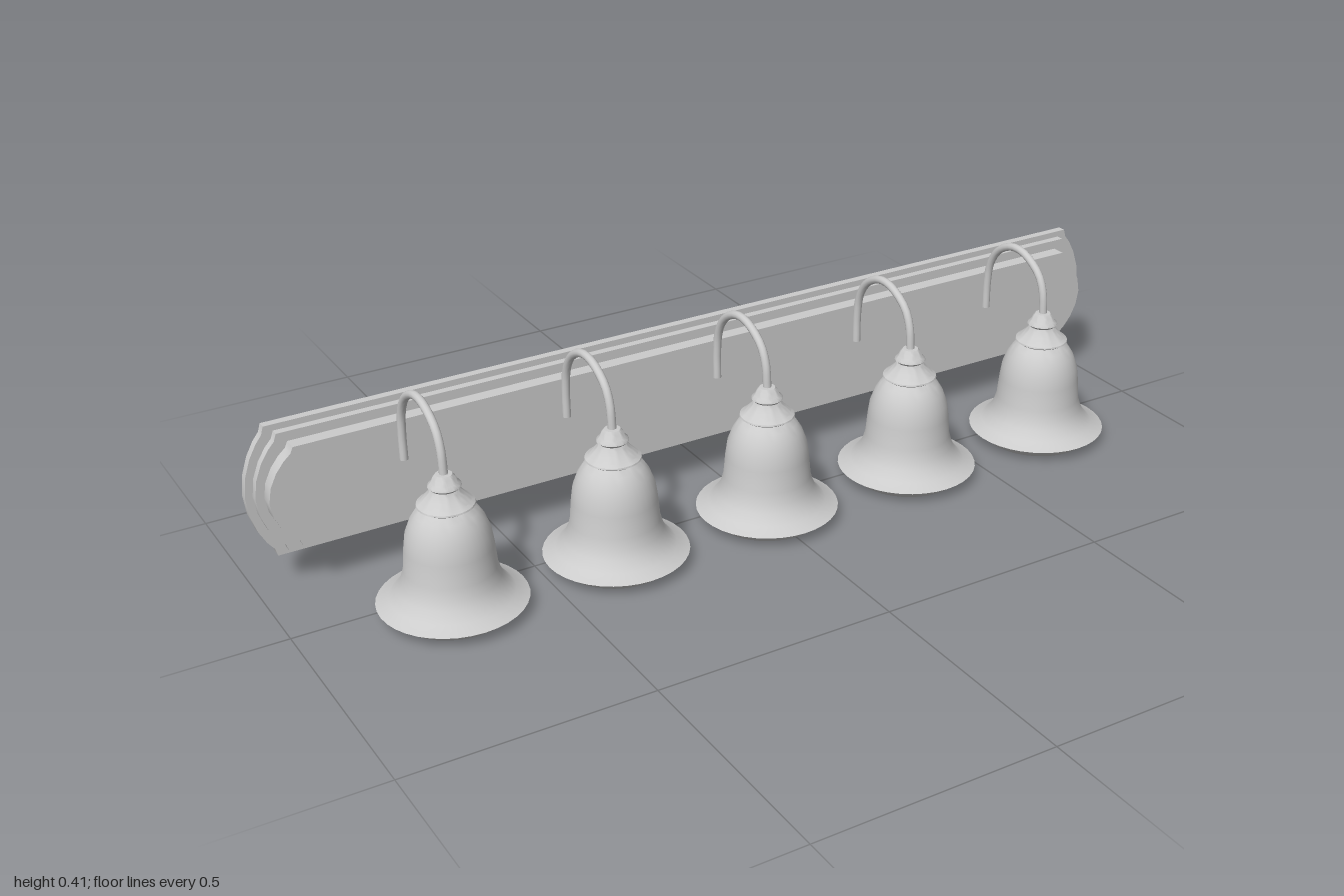
import * as THREE from 'three';
import { toCreasedNormals } from 'three/addons/utils/BufferGeometryUtils.js';

const material = new THREE.MeshStandardMaterial({ color: 0xcccccc, side: THREE.DoubleSide });

function part(name, geometry, parent) {
  const mesh = new THREE.Mesh(geometry, material);
  mesh.name = name;
  parent.add(mesh);
  return mesh;
}

const lathe = (points) => toCreasedNormals(
  new THREE.LatheGeometry(points.map(([r, y]) => new THREE.Vector2(r, y)), 36), 0.6);

// Closed plate outline: straight long edges, notched corners and bowed ends
const PLATE_Y = 0.2075;
function outline({ corner, end, half }) {
  const bow = [[0, 1], [0.1, 0.88], [0.36, 0.76], [0.66, 0.56], [0.9, 0.3], [1, 0]];
  const quarter = bow.map(([u, v]) => [corner + u * (end - corner), v * half]);
  const lower = quarter.slice(0, -1).reverse().map(([x, y]) => [x, -y]);
  const right = [...quarter, ...lower];
  const left = right.map(([x, y]) => [-x, -y]);
  return [...right, ...left].map(([x, y]) => new THREE.Vector2(x, y + PLATE_Y));
}

// Stepped shell, open at the back
function buildBackplate(parent) {
  const outer = { corner: 0.95, end: 1, half: 0.139 };
  const middle = { corner: 0.932, end: 0.985, half: 0.126 };
  const inner = { corner: 0.912, end: 0.968, half: 0.106 };
  const rings = [
    [outer, -0.203], [outer, -0.186], [middle, -0.186],
    [middle, -0.17], [inner, -0.17], [inner, -0.141],
  ].map(([size, z]) => outline(size).map((p) => [p.x, p.y, z]));
  const n = rings[0].length;
  const index = [];
  for (let r = 0; r < rings.length - 1; r++) {
    for (let i = 0; i < n; i++) {
      const a = r * n + i, b = r * n + (i + 1) % n;
      index.push(a, a + n, b, b, a + n, b + n);
    }
  }
  const steps = new THREE.BufferGeometry();
  steps.setAttribute('position', new THREE.Float32BufferAttribute(rings.flat(2), 3));
  steps.setIndex(index);
  part('backplateSteps', toCreasedNormals(steps, 0.5), parent);
  part('backplatePanel', new THREE.ShapeGeometry(new THREE.Shape(outline(inner))), parent)
    .position.z = -0.141;
}

// Bell shade: inner wall down to the lip, then outer wall back up
const shadeGeometry = lathe([
  [0.03, 0.219], [0.05, 0.208], [0.066, 0.19], [0.076, 0.165], [0.08, 0.135], [0.085, 0.085],
  [0.095, 0.05], [0.107, 0.022], [0.113, 0], [0.146, 0.025], [0.12, 0.037], [0.103, 0.056],
  [0.095, 0.073], [0.089, 0.095], [0.085, 0.14], [0.081, 0.168], [0.071, 0.195],
  [0.06, 0.212], [0.049, 0.223], [0.03, 0.226],
]);

// Stepped holder above the shade
const holderGeometry = lathe([
  [0, 0.224], [0.05, 0.224], [0.056, 0.228], [0.055, 0.231], [0.048, 0.236], [0.038, 0.246],
  [0.03, 0.255], [0.027, 0.261], [0.032, 0.266], [0.031, 0.269], [0.025, 0.274],
  [0.021, 0.284], [0.016, 0.29], [0, 0.291],
]);

// Bulb with a neck running up into the holder
const bulbGeometry = lathe([
  [0, 0.058], [0.016, 0.061], [0.03, 0.07], [0.04, 0.085], [0.043, 0.101], [0.04, 0.117],
  [0.032, 0.135], [0.024, 0.155], [0.02, 0.175], [0.02, 0.224],
]);

// Gooseneck arm from the holder over to the plate, given as [z, y]
const armPath = new THREE.CatmullRomCurve3([
  [0.059, 0.284], [0.054, 0.333], [0.039, 0.366], [0.012, 0.388], [-0.023, 0.402],
  [-0.057, 0.402], [-0.095, 0.385], [-0.118, 0.362], [-0.133, 0.331], [-0.139, 0.285],
  [-0.139, 0.23],
].map(([z, y]) => new THREE.Vector3(0, y, z)));
const armGeometry = new THREE.TubeGeometry(armPath, 24, 0.0085, 12);
const armEndGeometry = new THREE.CircleGeometry(0.0085, 12).rotateX(Math.PI / 2);

function buildLamp(x, parent) {
  const lamp = new THREE.Group();
  lamp.name = 'lamp';
  lamp.position.x = x;
  for (const [name, geometry] of [
    ['shade', shadeGeometry], ['holder', holderGeometry], ['bulb', bulbGeometry],
  ]) part(name, geometry, lamp).position.z = 0.059;
  part('arm', armGeometry, lamp);
  part('armEnd', armEndGeometry, lamp).position.set(0, 0.23, -0.139);
  parent.add(lamp);
}

export function createModel() {
  const model = new THREE.Group();
  model.name = 'wallLight';
  buildBackplate(model);
  for (let i = -2; i <= 2; i++) buildLamp(i * 0.349, model);
  return model;
}
